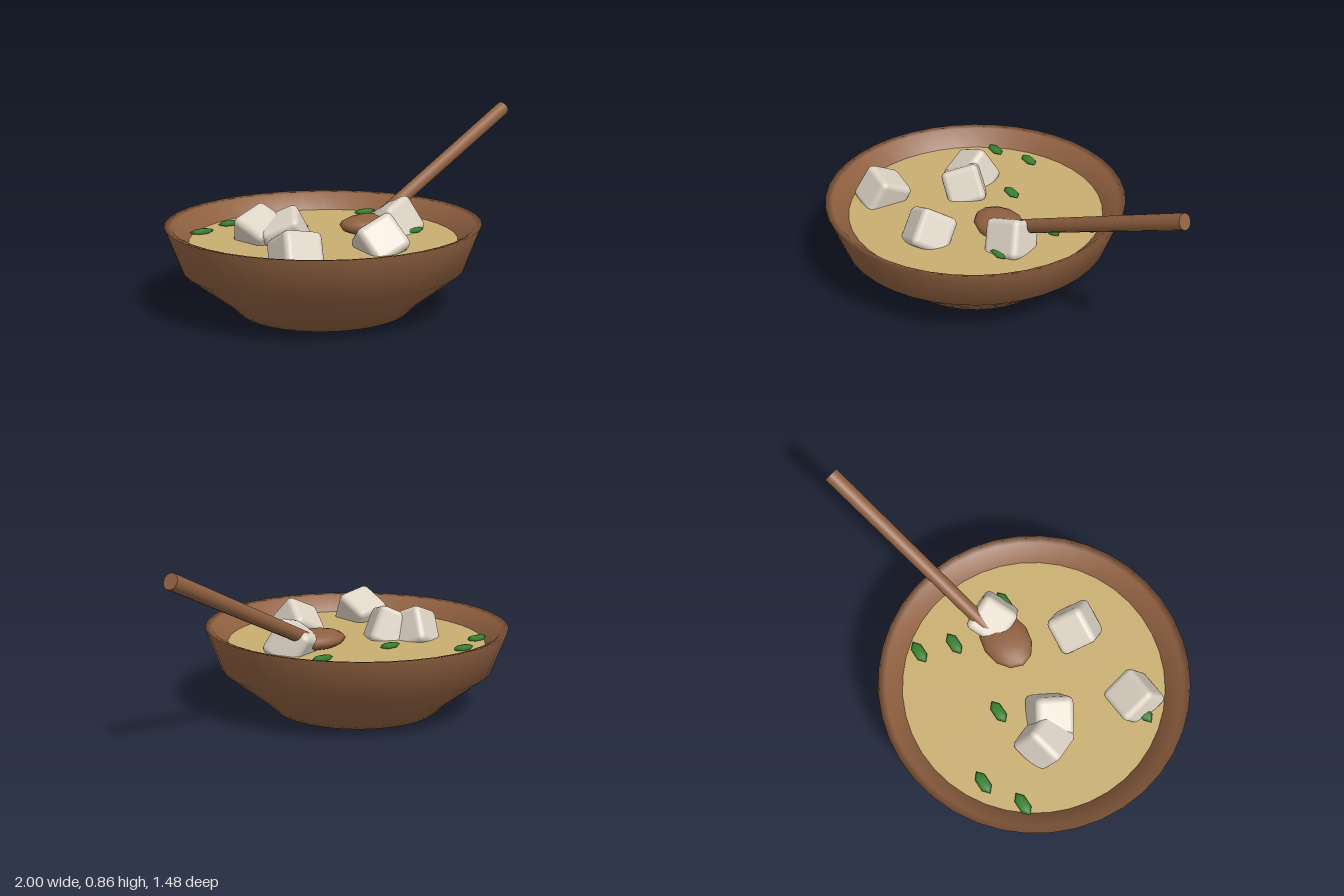
import * as THREE from 'three';
import { RoundedBoxGeometry } from 'three/addons/geometries/RoundedBoxGeometry.js';

const material = (name, color) => {
  const m = new THREE.MeshStandardMaterial({ color });
  m.name = name;
  return m;
};

export function createModel() {
  const wood = material('brown wood', 0x8f6040);
  const broth = material('golden broth', 0xc8ae70);
  const tofu = material('cream tofu', 0xdbd1c3);
  const herb = material('green herb', 0x378030);

  const model = new THREE.Group();
  model.name = 'soupBowl';
  const add = (name, geometry, mat, x, y, z, parent = model) => {
    const mesh = new THREE.Mesh(geometry, mat);
    mesh.name = name;
    mesh.position.set(x, y, z);
    parent.add(mesh);
    return mesh;
  };

  // Bowl: outside wall, rim, then inside wall
  const profile = [
    [0, 0], [0.41, 0], [0.46, 0.05], [0.665, 0.21], [0.74, 0.412],
    [0.705, 0.405], [0.625, 0.325], [0.54, 0.2], [0.35, 0.08], [0, 0.06],
  ].map(([r, y]) => new THREE.Vector2(r, y));
  add('bowl', new THREE.LatheGeometry(profile, 40), wood, -0.26, 0, 0);

  // Soup surface
  const surface = new THREE.CircleGeometry(0.63, 40).rotateX(-Math.PI / 2);
  add('soup', surface, broth, -0.26, 0.33, 0);

  // Tofu cubes: position, then tilt
  const cube = new RoundedBoxGeometry(0.19, 0.19, 0.19, 2, 0.03);
  [
    [-0.53, 0.36, -0.12, 0.45, 0.4, 0.2],
    [-0.44, 0.36, -0.03, 0.3, -0.4, 0.55],
    [-0.58, 0.36, 0.36, -0.5, 0.12, -0.15],
    [-0.135, 0.36, 0.32, -0.55, -0.25, 0.35],
    [0.12, 0.36, 0.01, -0.5, 0.3, 0.45],
  ].forEach(([x, y, z, rx, ry, rz]) => {
    add('tofuCube', cube, tofu, x, y, z).rotation.set(rx, ry, rz);
  });

  // Floating herb pieces
  const leaf = new THREE.SphereGeometry(1, 6, 4).scale(0.062, 0.014, 0.031);
  [
    [-0.54, -0.465], [-0.725, -0.365], [0.17, -0.38], [-0.29, -0.22],
    [0.115, -0.215], [0.165, 0.105], [-0.665, 0.36],
  ].forEach(([x, z]) => add('herbPiece', leaf, herb, x, 0.34, z));

  // Spoon: oval head with a round handle
  const spoon = new THREE.Group();
  spoon.name = 'spoon';
  model.add(spoon);
  const head = new THREE.SphereGeometry(1, 12, 8).scale(0.155, 0.047, 0.117);
  add('spoonHead', head, wood, -0.012, 0.37, 0, spoon);

  const start = new THREE.Vector3(0.04, 0.375, -0.03);
  const end = new THREE.Vector3(0.98, 0.825, -0.33);
  const along = end.clone().sub(start);
  const middle = start.clone().add(end).multiplyScalar(0.5);
  const shaft = new THREE.CylinderGeometry(0.037, 0.033, along.length(), 12);
  const handle = add('spoonHandle', shaft, wood, middle.x, middle.y, middle.z, spoon);
  handle.quaternion.setFromUnitVectors(new THREE.Vector3(0, 1, 0), along.normalize());

  return model;
}
